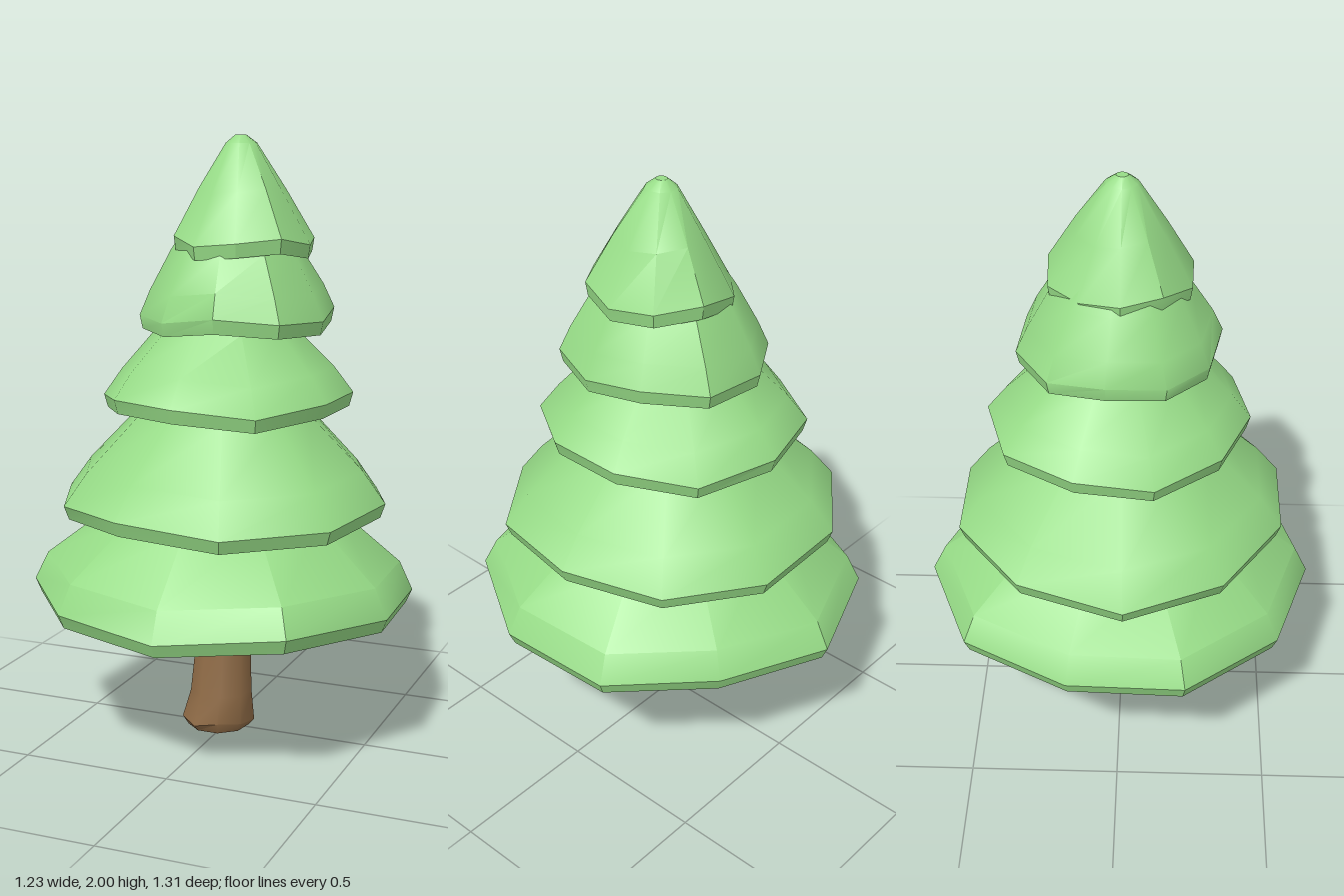
import * as THREE from 'three';
import { toCreasedNormals } from 'three/addons/utils/BufferGeometryUtils.js';

// Skin a stack of equal-length rings (top to bottom), closing both ends
function skin(rings, crease) {
  const pos = [];
  const tri = (...p) => p.forEach((v) => pos.push(v.x, v.y, v.z));
  const mid = (r) => r.reduce((s, v) => s.add(v), new THREE.Vector3()).divideScalar(r.length);
  const n = rings[0].length;
  const last = rings[rings.length - 1];
  const top = mid(rings[0]), bottom = mid(last);
  for (let j = 0; j < n; j++) {
    const k = (j + 1) % n;
    tri(top, rings[0][k], rings[0][j]);
    for (let i = 0; i + 1 < rings.length; i++) {
      const a = rings[i], b = rings[i + 1];
      tri(a[j], a[k], b[k]);
      tri(a[j], b[k], b[j]);
    }
    tri(bottom, last[j], last[k]);
  }
  const g = new THREE.BufferGeometry();
  g.setAttribute('position', new THREE.Float32BufferAttribute(pos, 3));
  return toCreasedNormals(g, crease);
}

// Ring of points round a vertical axis, clockwise seen from above, starting at the back
function ring(radii, startDegrees, cx, y, cz, wave = 0, phase = 0) {
  return radii.map((r, j) => {
    const a = THREE.MathUtils.degToRad(startDegrees) + (j / radii.length) * Math.PI * 2;
    return new THREE.Vector3(cx + r * Math.sin(a), y + wave * Math.sin(j * 2.1 + phase), cz - r * Math.cos(a));
  });
}

// Hollow skirt of foliage; crown, neck and shoulder are [scale of rim, height]
function skirt({ cx, start, radii, crown, neck, shoulder, rimY }, phase) {
  const profile = [
    [...crown, 0], [...neck, 0], [...shoulder, 0.012],
    [1, rimY, 0.015], [0.97, rimY - 0.045, 0.013], [0.86, rimY - 0.027, 0.011],
    [shoulder[0] * 0.84, shoulder[1] - 0.035, 0], [neck[0] * 0.75, neck[1] - 0.06, 0],
  ];
  return skin(profile.map(([s, y, wave]) =>
    ring(radii.map((r) => r * s), start, cx, y, 0, wave, phase)), 0.6);
}

const tiers = [
  { name: 'lowestTier', cx: 0, start: -2, radii: [0.66, 0.61, 0.63, 0.645, 0.665, 0.65, 0.64, 0.65, 0.6, 0.65],
    crown: [0.34, 0.93], neck: [0.58, 0.78], shoulder: [0.93, 0.6], rimY: 0.505 },
  { name: 'lowerTier', cx: 0, start: -20, radii: [0.565, 0.555, 0.54, 0.55, 0.575, 0.57, 0.555, 0.55, 0.575, 0.57],
    crown: [0.38, 1.22], neck: [0.52, 1.11], shoulder: [0.86, 0.92], rimY: 0.815 },
  { name: 'middleTier', cx: 0, start: 2, radii: [0.44, 0.435, 0.42, 0.425, 0.445, 0.42, 0.41, 0.41, 0.41, 0.44],
    crown: [0.4, 1.47], neck: [0.54, 1.385], shoulder: [0.85, 1.25], rimY: 1.165 },
  { name: 'upperTier', cx: 0.03, start: -10, radii: [0.34, 0.35, 0.33, 0.325, 0.34, 0.325, 0.31, 0.31, 0.305, 0.325],
    crown: [0.5, 1.72], neck: [0.67, 1.635], shoulder: [0.89, 1.51], rimY: 1.43 },
  { name: 'crownTier', cx: 0.05, start: -18, radii: [0.24, 0.247, 0.25, 0.24, 0.24, 0.234, 0.23, 0.22, 0.22, 0.216],
    crown: [0.08, 2], neck: [0.22, 1.975], shoulder: [0.62, 1.825], rimY: 1.67 },
];

export function createModel() {
  const tree = new THREE.Group();
  tree.name = 'pineTree';
  const leaf = new THREE.MeshStandardMaterial({ color: 0x97dc87 });
  const bark = new THREE.MeshStandardMaterial({ color: 0x8f6b46 });
  const add = (name, geometry, material) => {
    const mesh = new THREE.Mesh(geometry, material);
    mesh.name = name;
    tree.add(mesh);
  };

  // Overlapping tiers of foliage
  tiers.forEach((tier, t) => add(tier.name, skirt(tier, t * 1.3), leaf));

  // Trunk flaring at the foot: [radius, y, x, z, wave]
  const trunkRings = [
    [0.06, 0.9, 0.01, 0.01, 0], [0.085, 0.45, 0.005, 0.02, 0], [0.105, 0.14, -0.005, 0.03, 0],
    [0.124, 0.045, -0.015, 0.03, 0.01], [0.105, 0.015, -0.015, 0.03, 0], [0.05, 0, -0.015, 0.03, 0],
  ].map(([r, y, x, z, wave]) => ring(Array(9).fill(r), 0, x, y, z, wave));
  add('trunk', skin(trunkRings, 0.75), bark);
  return tree;
}
